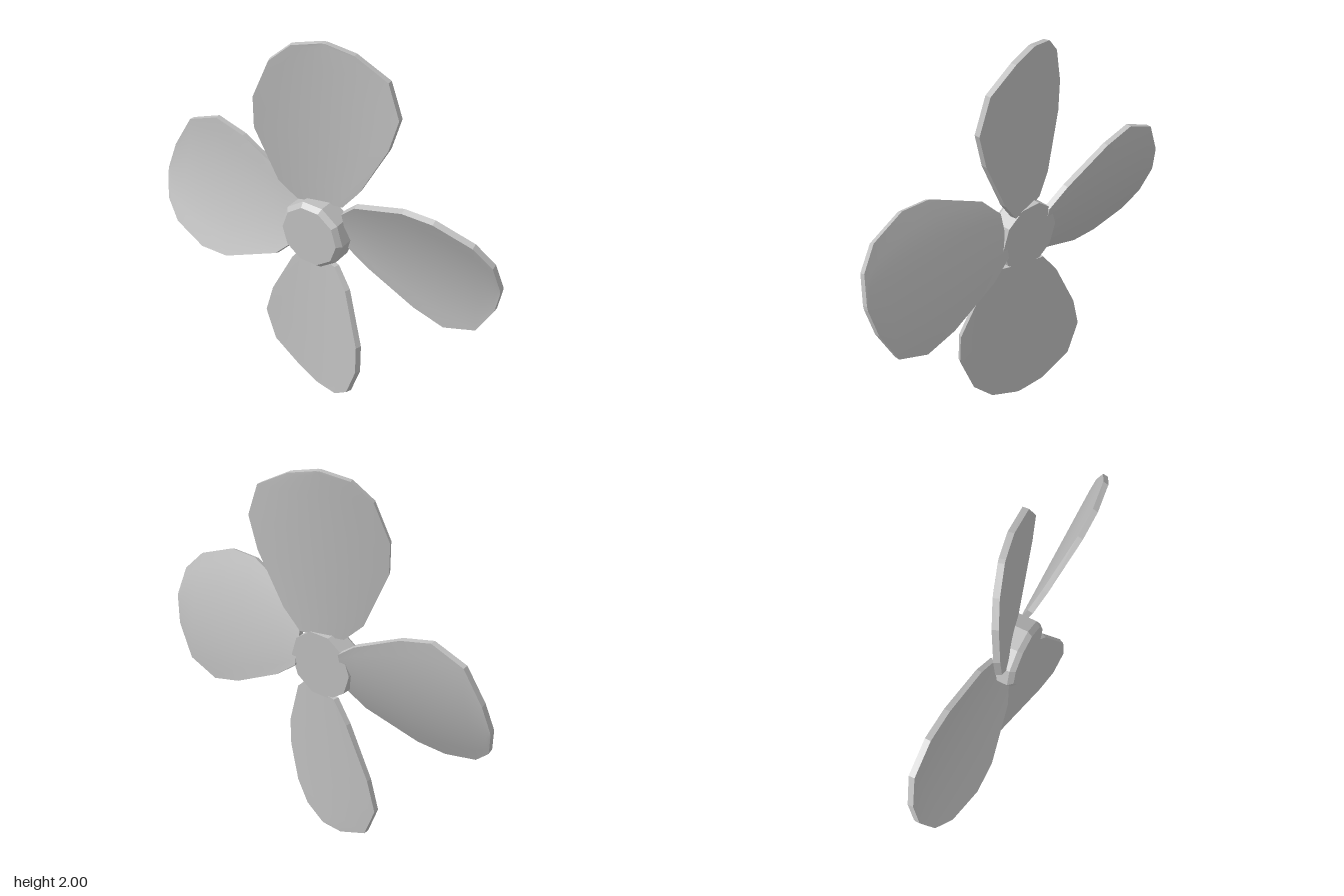
import * as THREE from 'three';
import { mergeGeometries } from 'three/addons/utils/BufferGeometryUtils.js';

const THICK = 0.03, COLS = 8;

// Blade stations from root to tip: [left edge, left radius, right edge, right radius]
const STATIONS = [
  [-0.105, 0.16, 0.115, 0.16], [-0.195, 0.25, 0.2, 0.27], [-0.303, 0.53, 0.335, 0.54],
  [-0.307, 0.69, 0.38, 0.71], [-0.24, 0.88, 0.315, 0.88], [-0.145, 0.97, 0.145, 0.97],
  [-0.01, 1, 0.01, 1],
];

// Pitched and cambered front surface, with the back offset along its normal
function surfacePoint(u, r, depth) {
  const z = -0.02 - 0.278 * u + 0.351 * u * u;
  const n = new THREE.Vector3(0.278 - 0.702 * u, 0, 1).normalize();
  return new THREE.Vector3(u, r, z).addScaledVector(n, -depth);
}

function geometryFrom(points, index) {
  let g = new THREE.BufferGeometry().setFromPoints(points);
  if (index) {
    g.setIndex(index);
    g.computeVertexNormals();
    g = g.toNonIndexed();
  } else g.computeVertexNormals();
  return g;
}

function bladeGeometry() {
  const grid = (depth) => STATIONS.flatMap(([u0, r0, u1, r1]) =>
    Array.from({ length: COLS + 1 }, (_, j) => {
      const t = j / COLS;
      return surfacePoint(u0 + (u1 - u0) * t, r0 + (r1 - r0) * t, depth);
    }));
  const front = grid(0), back = grid(THICK), w = COLS + 1, rows = STATIONS.length - 1;

  // Smooth front and back faces
  const fi = [], bi = [];
  for (let i = 0; i < rows; i++) for (let j = 0; j < COLS; j++) {
    const a = i * w + j, b = a + 1, c = b + w, d = a + w;
    fi.push(a, b, c, a, c, d);
    bi.push(a, c, b, a, d, c);
  }

  // Flat rim around the outline
  const loop = [];
  for (let j = 0; j < COLS; j++) loop.push(j);
  for (let i = 0; i < rows; i++) loop.push(i * w + COLS);
  for (let j = COLS; j > 0; j--) loop.push(rows * w + j);
  for (let i = rows; i > 0; i--) loop.push(i * w);
  const rim = [];
  loop.forEach((p, k) => {
    const q = loop[(k + 1) % loop.length];
    rim.push(back[p], back[q], front[q], back[p], front[q], front[p]);
  });
  return mergeGeometries([geometryFrom(front, fi), geometryFrom(back, bi), geometryFrom(rim)]);
}

export function createModel() {
  const metal = new THREE.MeshStandardMaterial({ color: 0xc0c0c0 });
  metal.name = 'grey metal';
  const model = new THREE.Group();
  model.name = 'propeller';

  // Rotor leans slightly backwards
  const rotor = new THREE.Group();
  rotor.name = 'rotor';
  rotor.position.y = 1;
  rotor.rotation.x = -0.036;
  model.add(rotor);

  // Ten-sided hub with a bevelled front rim
  const hub = new THREE.LatheGeometry([
    [0, -0.067], [0.18, -0.067], [0.18, 0.035], [0.158, 0.06], [0, 0.06],
  ].map(([x, y]) => new THREE.Vector2(x, y)), 10, Math.PI / 10);
  const flatHub = hub.toNonIndexed();
  flatHub.rotateX(Math.PI / 2);
  flatHub.computeVertexNormals();
  const hubMesh = new THREE.Mesh(flatHub, metal);
  hubMesh.name = 'hub';
  hubMesh.position.x = -0.018;
  rotor.add(hubMesh);

  // Four blades, each with its mounting offset
  const blade = bladeGeometry();
  [
    ['topBlade', 0, -0.015, 0], ['leftBlade', -1, -0.025, 0.06],
    ['bottomBlade', 2, 0, 0.003], ['rightBlade', 1, 0.02, 0],
  ].forEach(([name, turns, x, y]) => {
    const mesh = new THREE.Mesh(blade, metal);
    mesh.name = name;
    mesh.rotation.z = turns * Math.PI / 2;
    mesh.position.set(x, y, 0);
    rotor.add(mesh);
  });
  return model;
}
